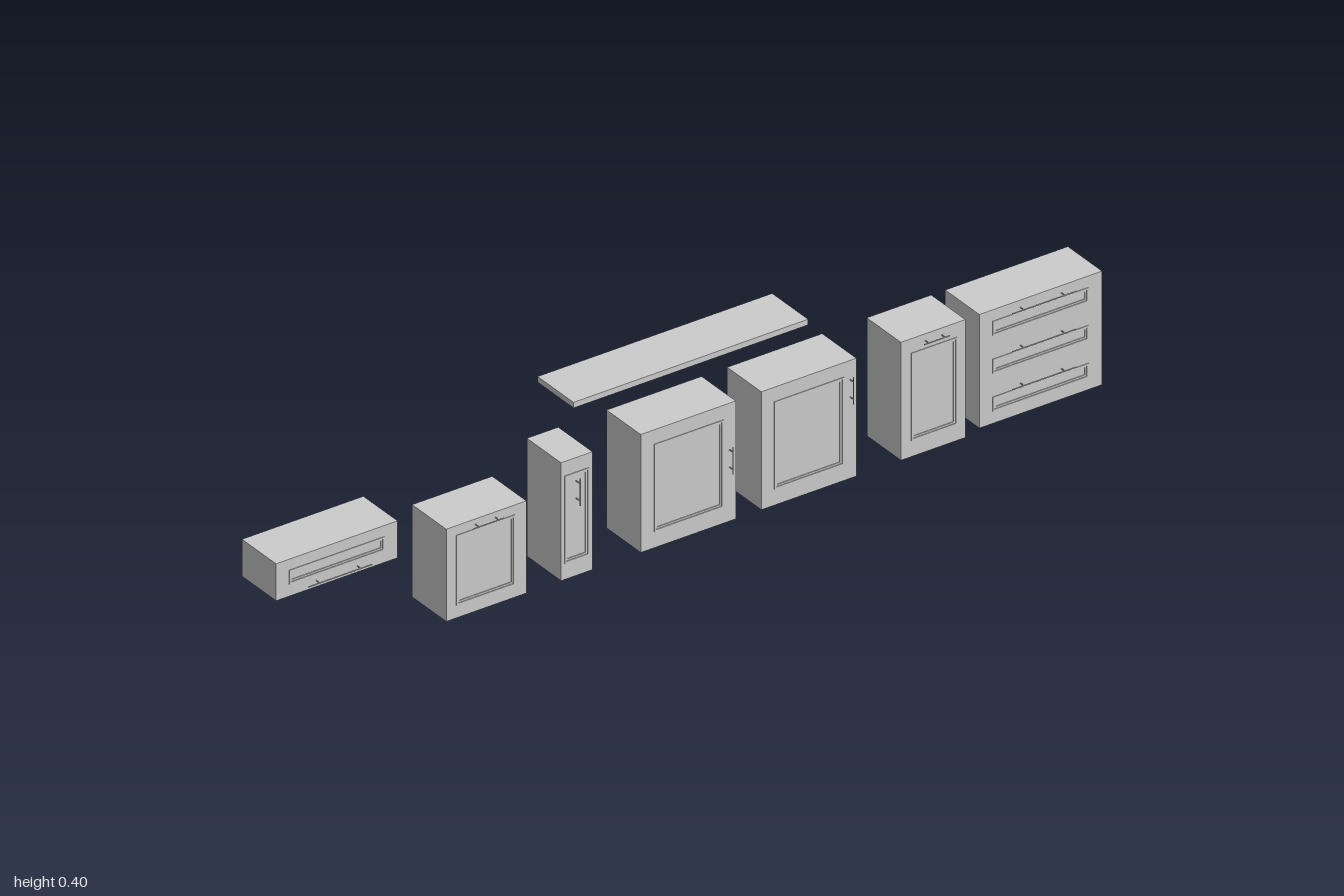
import * as THREE from 'three';

const BACK = -0.066, FRONT = 0.052, BAR = 0.0637;
const material = new THREE.MeshStandardMaterial({ color: 0xcccccc, side: THREE.DoubleSide });

function add(parent, name, geometry, x = 0, y = 0, z = 0) {
  const mesh = new THREE.Mesh(geometry, material);
  mesh.name = name;
  mesh.position.set(x, y, z);
  parent.add(mesh);
  return mesh;
}

// Thin-walled box without the listed faces (0..5 = +x, -x, +y, -y, +z, -z)
function openBox(w, h, d, missing) {
  const g = new THREE.BoxGeometry(w, h, d);
  const index = Array.from(g.index.array).filter((_, i) => !missing.includes(Math.floor(i / 6)));
  g.setIndex(index);
  g.clearGroups();
  return g;
}

function trace(path, [x0, x1, y0, y1], inset = 0) {
  path.moveTo(x0 + inset, y0 + inset);
  path.lineTo(x1 - inset, y0 + inset);
  path.lineTo(x1 - inset, y1 - inset);
  path.lineTo(x0 + inset, y1 - inset);
  path.closePath();
  return path;
}

// Rectangle with a rectangular opening
function ring(outer, inner, inset = 0) {
  const shape = trace(new THREE.Shape(), outer);
  shape.holes.push(trace(new THREE.Path(), inner, inset));
  return shape;
}

// Bar handle on two posts
function addHandle(parent, { x, y, length, vertical }) {
  const handle = new THREE.Group();
  handle.name = 'handle';
  handle.position.set(x, y, 0);
  if (!vertical) handle.rotation.z = Math.PI / 2;
  add(handle, 'handleBar', new THREE.CylinderGeometry(0.0014, 0.0014, length, 10), 0, 0, BAR);
  for (const side of [-1, 1]) {
    const post = new THREE.CylinderGeometry(0.0012, 0.0012, BAR - 0.049, 8).rotateX(Math.PI / 2);
    add(handle, 'handlePost', post, 0, side * length * 0.32, (BAR + 0.049) / 2);
  }
  parent.add(handle);
}

// Carcass, framed front with sunken panel, and handle
function addUnit(parent, { name, box, panel, handle, closed }) {
  const unit = new THREE.Group();
  unit.name = name;
  const [x0, x1, y0, y1] = box;
  add(unit, 'carcass', openBox(x1 - x0, y1 - y0, FRONT - BACK, closed ? [4] : [4, 5]),
    (x0 + x1) / 2, (y0 + y1) / 2, (FRONT + BACK) / 2);
  add(unit, 'doorFrame', new THREE.ShapeGeometry(ring(box, panel, 0.002)), 0, 0, FRONT);
  // stepped moulding around the panel
  add(unit, 'outerMoulding', new THREE.ExtrudeGeometry(ring(panel, panel, 0.004),
    { depth: 0.004, bevelEnabled: false }), 0, 0, FRONT - 0.0025);
  const [a, b, c, d] = panel;
  const inner = [a + 0.004, b - 0.004, c + 0.004, d - 0.004];
  add(unit, 'innerMoulding', new THREE.ExtrudeGeometry(ring(inner, inner, 0.004),
    { depth: 0.002, bevelEnabled: false }), 0, 0, FRONT - 0.0025);
  add(unit, 'panel', new THREE.ShapeGeometry(trace(new THREE.Shape(), inner)), 0, 0, FRONT - 0.0025);
  addHandle(unit, handle);
  parent.add(unit);
}

export function createModel() {
  const root = new THREE.Group();
  root.name = 'kitchenCabinets';
  // Units are laid out along local x, then turned to face +x
  const row = new THREE.Group();
  row.name = 'cabinetRow';
  row.rotation.y = Math.PI / 2;
  root.add(row);

  const units = [
    { name: 'singleDrawer', box: [-1, -0.706, 0.186, 0.271], panel: [-0.969, -0.738, 0.214, 0.246],
      handle: { x: -0.853, y: 0.2, length: 0.155 } },
    { name: 'lowCabinet', box: [-0.588, -0.394, 0, 0.212], panel: [-0.564, -0.422, 0.029, 0.19],
      handle: { x: -0.493, y: 0.199, length: 0.075 } },
    { name: 'narrowCabinet', box: [-0.31, -0.234, 0, 0.271], panel: [-0.302, -0.242, 0.037, 0.238],
      handle: { x: -0.272, y: 0.196, length: 0.062, vertical: true } },
    { name: 'closedCabinet', box: [-0.117, 0.113, 0, 0.271], panel: [-0.085, 0.083, 0.037, 0.238], closed: true,
      handle: { x: 0.098, y: 0.144, length: 0.062, vertical: true } },
    { name: 'wideCabinet', box: [0.175, 0.405, 0, 0.271], panel: [0.206, 0.374, 0.037, 0.238],
      handle: { x: 0.39, y: 0.207, length: 0.062, vertical: true } },
    { name: 'mediumCabinet', box: [0.513, 0.669, 0, 0.271], panel: [0.537, 0.649, 0.037, 0.238],
      handle: { x: 0.592, y: 0.255, length: 0.062 } },
  ];
  // Stack of three drawers
  for (let i = 0; i < 3; i++) {
    const y = 0.01 + i * 0.087;
    units.push({ name: 'stackedDrawer', box: [0.703, 1, y, y + 0.087], panel: [0.735, 0.967, y + 0.028, y + 0.061],
      handle: { x: 0.852, y: y + 0.07, length: 0.155 } });
  }
  units.forEach((u) => addUnit(row, u));

  // Worktop, hollow underneath
  add(row, 'worktop', openBox(0.568, 0.013, 0.124, [3]), 0, 0.3975, -0.004);
  return root;
}
